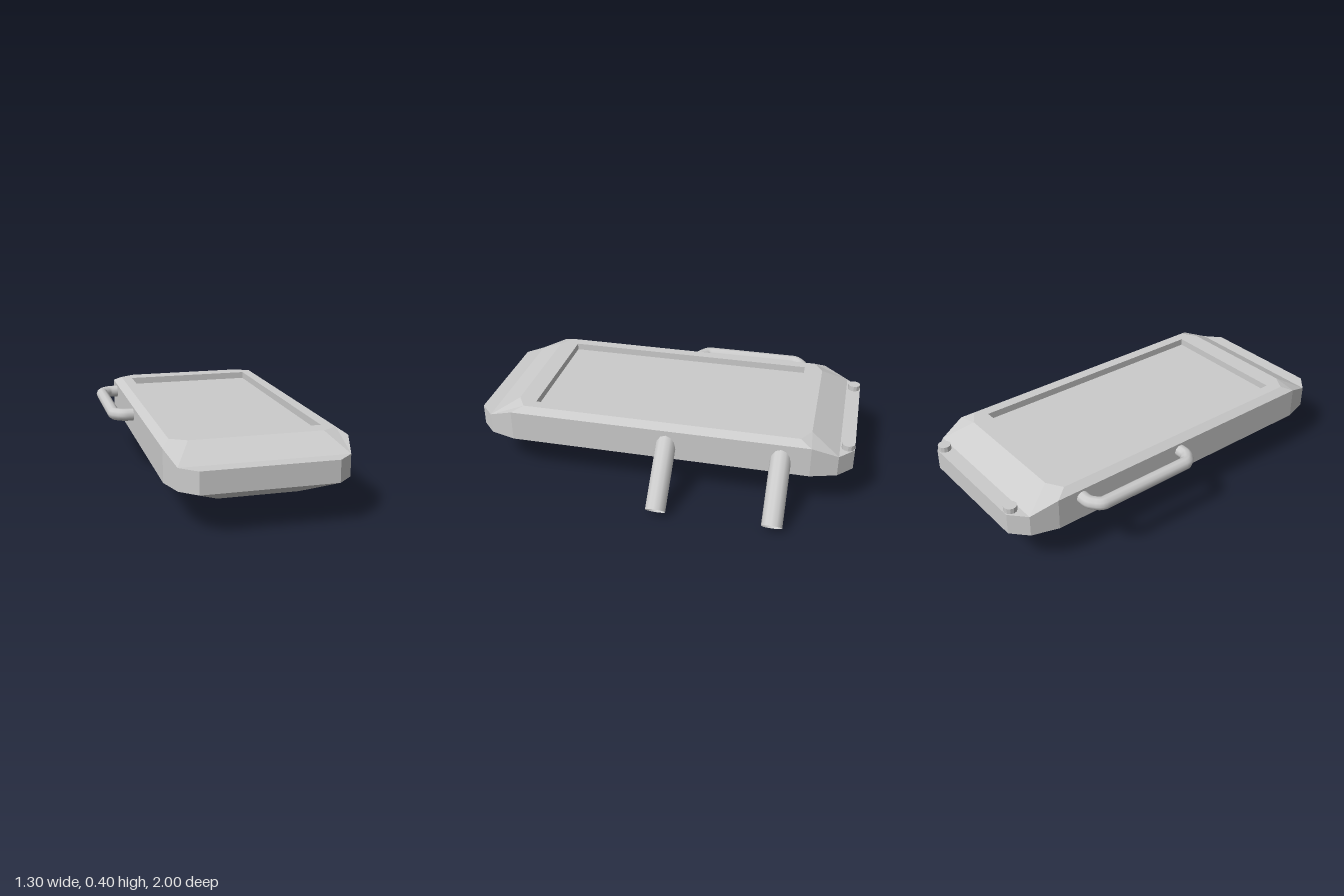
import * as THREE from 'three';

const material = new THREE.MeshStandardMaterial({ color: 0xcccccc, flatShading: true });
const smooth = new THREE.MeshStandardMaterial({ color: 0xcccccc, side: THREE.DoubleSide });
const CX = -0.07; // the case sits off centre, as the legs reach out to +x

// Mirrors corner points [x, z, y] into a full ring, running +x along the front
function ring(points) {
  const back = [...points].reverse();
  return [[1, 1, points], [1, -1, back], [-1, -1, points], [-1, 1, back]].flatMap(([sx, sz, list]) =>
    list.map(([x, z, y]) => new THREE.Vector3(x * sx, y, z * sz)));
}

// Joins consecutive rings with flat faces, leaving out collapsed triangles
function loft(rings) {
  const out = [];
  const tri = (a, b, c) => {
    const area = b.clone().sub(a).cross(c.clone().sub(a)).length();
    if (area > 1e-7) for (const p of [a, b, c]) out.push(p.x, p.y, p.z);
  };
  for (let r = 0; r < rings.length - 1; r++) {
    const lo = rings[r], hi = rings[r + 1];
    lo.forEach((p, i) => {
      const j = (i + 1) % lo.length;
      tri(p, lo[j], hi[j]);
      tri(p, hi[j], hi[i]);
    });
  }
  const geometry = new THREE.BufferGeometry();
  geometry.setAttribute('position', new THREE.Float32BufferAttribute(out, 3));
  geometry.computeVertexNormals();
  return geometry;
}

// Flat horizontal face over a ring, optionally with a hole
function cap(points, up, hole) {
  const flat = (list) => list.map((p) => new THREE.Vector2(p.x, p.z));
  const shape = new THREE.Shape(flat(points));
  if (hole) shape.holes.push(new THREE.Path(flat(hole)));
  return new THREE.ShapeGeometry(shape).rotateX(up ? -Math.PI / 2 : Math.PI / 2).translate(0, points[0].y, 0);
}

export function createModel() {
  const model = new THREE.Group();
  const add = (name, geometry, parent = model, mat = material) => {
    const mesh = new THREE.Mesh(geometry, mat);
    mesh.name = name;
    parent.add(mesh);
    return mesh;
  };

  // Case: tapered underside, upright walls, end ledges and bevelled top
  const body = new THREE.Group();
  body.name = 'case';
  body.position.x = CX;
  model.add(body);

  const bottom = ring([[0.2, 0.81, 0.12], [0.235, 0.74, 0.12], [0.27, 0.64, 0.12]]);
  const waist = ring([[0.33, 1, 0.212], [0.41, 0.925, 0.212], [0.45, 0.79, 0.212]]);
  const rim = ring([[0.33, 1, 0.322], [0.41, 0.925, 0.322], [0.45, 0.79, 0.375]]);
  const ledge = ring([[0.41, 0.925, 0.322], [0.41, 0.925, 0.322], [0.45, 0.79, 0.375]]);
  const top = ring([[0.33, 0.78, 0.402], [0.33, 0.78, 0.402], [0.41, 0.73, 0.402]]);
  const topOutline = ring([[0.33, 0.78, 0.402], [0.41, 0.73, 0.402]]);
  const frame = ring([[0.353, 0.68, 0.402]]);
  const recess = ring([[0.353, 0.68, 0.365]]);

  add('shell', loft([bottom, waist, rim, ledge, top]), body);
  add('underside', cap(bottom, false), body);
  add('topFrame', cap(topOutline, true, frame), body);
  add('screenRecess', loft([frame, recess]), body);
  add('screen', cap(recess, true), body);

  // Carrying handle on the -x side
  const path = new THREE.CurvePath();
  const bends = [[-0.5, -0.655], [-0.57, -0.655], [-0.618, -0.615], [-0.618, -0.085], [-0.57, -0.045], [-0.5, -0.045]]
    .map(([x, z]) => new THREE.Vector3(x, 0.332, z));
  const mid = (a, b, t) => a.clone().lerp(b, t);
  let last = bends[0];
  for (let i = 1; i < bends.length - 1; i++) {
    const reach = 0.02;
    const before = mid(bends[i], bends[i - 1], reach / bends[i].distanceTo(bends[i - 1]));
    const after = mid(bends[i], bends[i + 1], reach / bends[i].distanceTo(bends[i + 1]));
    path.add(new THREE.LineCurve3(last, before));
    path.add(new THREE.QuadraticBezierCurve3(before, bends[i], after));
    last = after;
  }
  path.add(new THREE.LineCurve3(last, bends[5]));
  add('handle', new THREE.TubeGeometry(path, 72, 0.033, 10), model, smooth);

  // Two hollow legs slanting down on the +x side
  const legTop = new THREE.Vector2(0.34, 0.314), legEnd = new THREE.Vector2(0.612, 0.042);
  for (const z of [-0.64, -0.048]) {
    const leg = add('leg', new THREE.CylinderGeometry(0.053, 0.053, legTop.distanceTo(legEnd), 12, 1, true), model, smooth);
    leg.position.set((legTop.x + legEnd.x) / 2, (legTop.y + legEnd.y) / 2, z);
    leg.rotation.z = Math.PI / 4;
  }

  // Small buttons on the rear ledge
  for (const x of [-0.38, 0.245]) {
    add('button', new THREE.CylinderGeometry(0.033, 0.033, 0.04, 12)).position.set(x, 0.33, -0.965);
  }
  return model;
}
